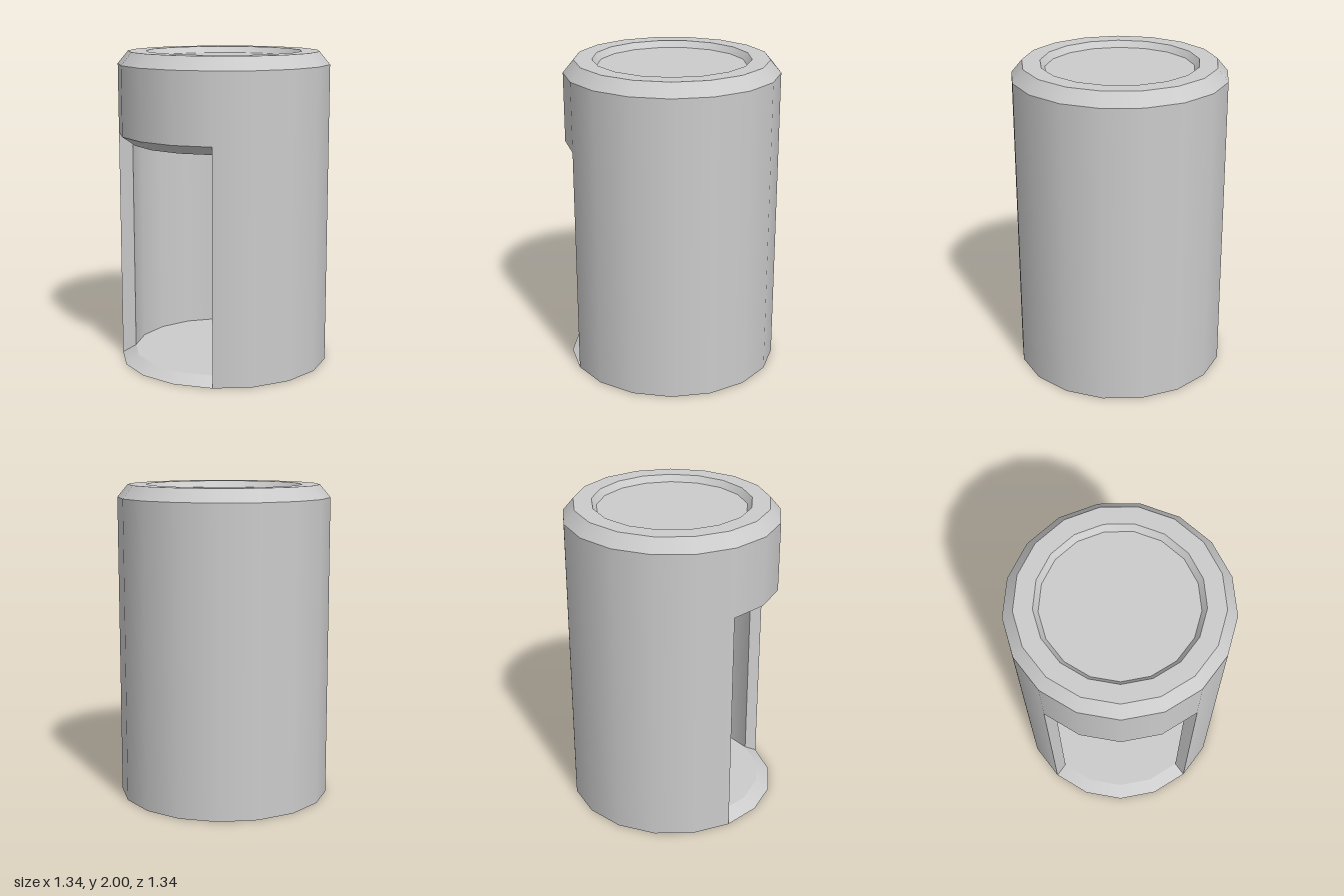
import * as THREE from 'three';
import { mergeGeometries } from 'three/addons/utils/BufferGeometryUtils.js';

const SIDES = 17;
const STEP = (Math.PI * 2) / SIDES;
const R = 0.674; // outer radius
const r = 0.587; // cavity radius
const LINTEL = 1.48, CEILING = 1.42, FLOOR = 0.05;
const OPEN = 4; // sides taken by the front opening, centred on +z

const full = [0, SIDES];
const back = [OPEN / 2, SIDES - OPEN];
const front = [-OPEN / 2, OPEN];

// Revolved strips, one per pair of profile points, so profile edges stay sharp
function bands(profile, [start, count]) {
  const strips = [];
  for (let i = 0; i < profile.length - 1; i++) {
    const pair = [profile[i], profile[i + 1]].map(([x, y]) => new THREE.Vector2(x, y));
    strips.push(new THREE.LatheGeometry(pair, count, start * STEP, count * STEP));
  }
  return mergeGeometries(strips);
}

// Flat bevelled side of the opening
function jamb(side) {
  const a = side * (OPEN / 2) * STEP;
  const corners = [[R, 0], [r, FLOOR], [r, CEILING], [R, LINTEL]];
  const geometry = new THREE.BufferGeometry();
  geometry.setAttribute('position', new THREE.Float32BufferAttribute(
    corners.flatMap(([d, y]) => [d * Math.sin(a), y, d * Math.cos(a)]), 3));
  geometry.setIndex(side > 0 ? [0, 1, 2, 0, 2, 3] : [0, 2, 1, 0, 3, 2]);
  geometry.computeVertexNormals();
  return geometry;
}

export function createModel() {
  const model = new THREE.Group();
  const material = new THREE.MeshStandardMaterial({ color: 0xcccccc, side: THREE.DoubleSide });
  const add = (name, geometry) => {
    const mesh = new THREE.Mesh(geometry, material);
    mesh.name = name;
    mesh.position.z = -0.006; // an odd number of sides is off centre
    model.add(mesh);
  };

  // Outer shell
  add('base', bands([[0, 0], [R, 0]], full));
  add('outerWall', bands([[R, 0], [R, LINTEL]], back));
  add('upperWall', bands([[R, LINTEL], [R, 1.92]], full));

  // Chamfered rim with a shallow dished lid
  add('lid', bands([[R, 1.92], [0.607, 2], [0.494, 2], [0.465, 1.96], [0, 1.96]], full));

  // Hollow interior
  add('cavityWall', bands([[r, CEILING], [r, FLOOR]], back));
  add('cavityFloor', bands([[r, FLOOR], [0, FLOOR]], full));
  add('cavityCeiling', bands([[0, CEILING], [r, CEILING]], full));

  // Bevelled frame of the opening
  add('lintel', bands([[r, CEILING], [R, LINTEL]], front));
  add('sill', bands([[R, 0], [r, FLOOR]], front));
  add('leftJamb', jamb(1));
  add('rightJamb', jamb(-1));

  return model;
}
